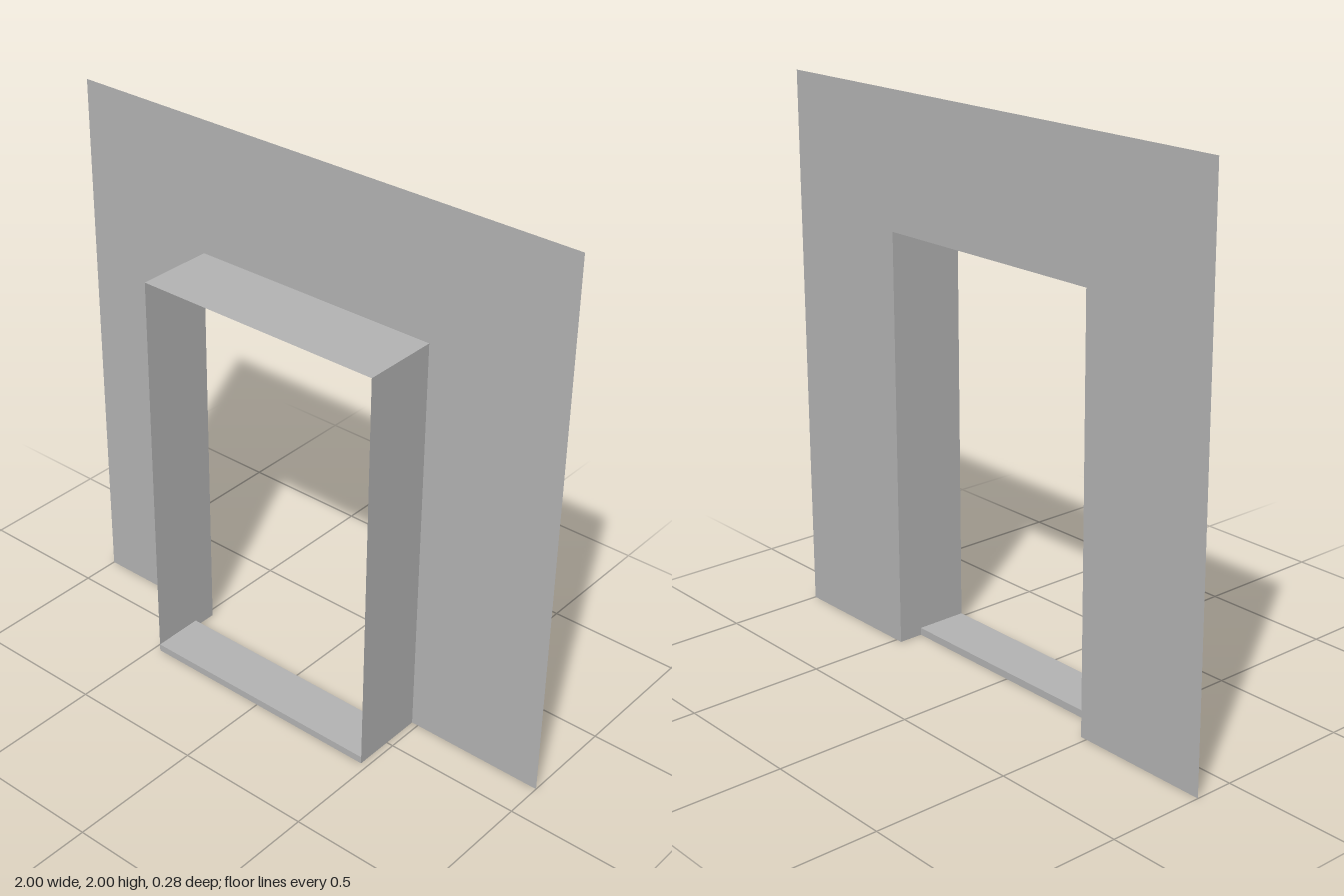
import * as THREE from 'three';

const W = 0.475;      // half width of the opening
const H = 1.517;      // height of the opening
const Z = 0.142;      // half depth of the frame
const SILL_H = 0.027; // height of the sill
const SILL_BACK = -0.05;

export function createModel() {
  const model = new THREE.Group();
  model.name = 'doorway';
  const grey = new THREE.MeshStandardMaterial({ color: 0xb3b3b3, side: THREE.DoubleSide });
  grey.name = 'plain grey';

  const add = (name, geometry, x, y, z, parent = model) => {
    const mesh = new THREE.Mesh(geometry, grey);
    mesh.name = name;
    mesh.position.set(x, y, z);
    parent.add(mesh);
    return mesh;
  };

  // Thin wall sheet, notched by the opening down to the floor
  const outline = [[-1, 0], [-W, 0], [-W, H], [W, H], [W, 0], [1, 0], [1, 2], [-1, 2]];
  const shape = new THREE.Shape(outline.map(([x, y]) => new THREE.Vector2(x, y)));
  add('wall', new THREE.ShapeGeometry(shape), 0, 0, -Z);

  // Jambs and head lining, standing forward of the wall
  for (const [name, side] of [['leftJamb', 1], ['rightJamb', -1]]) {
    add(name, new THREE.PlaneGeometry(2 * Z, H).rotateY(side * Math.PI / 2), side * W, H / 2, 0);
  }
  add('head', new THREE.PlaneGeometry(2 * W, 2 * Z).rotateX(-Math.PI / 2), 0, H, 0);

  // Low sill, open underneath
  const sill = new THREE.Group();
  sill.name = 'sill';
  model.add(sill);
  const depth = Z - SILL_BACK;
  add('sillTop', new THREE.PlaneGeometry(2 * W, depth).rotateX(-Math.PI / 2),
    0, SILL_H, (Z + SILL_BACK) / 2, sill);
  add('sillFront', new THREE.PlaneGeometry(2 * W, SILL_H), 0, SILL_H / 2, Z, sill);
  add('sillBack', new THREE.PlaneGeometry(2 * W, SILL_H).rotateY(Math.PI),
    0, SILL_H / 2, SILL_BACK, sill);

  return model;
}
